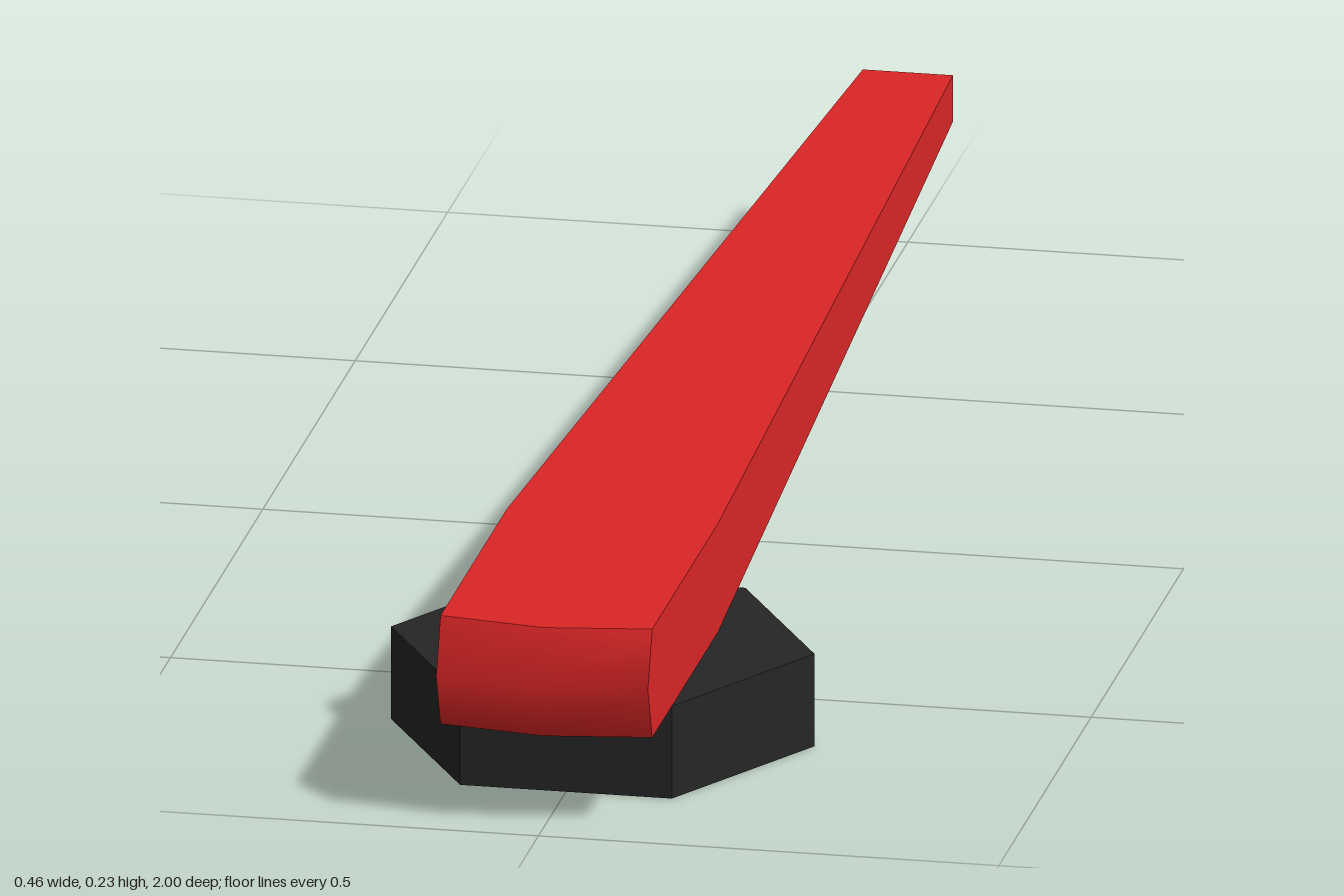
import * as THREE from 'three';

// Outline of a rectangular cross-section: corners and edge middles, counter-clockwise from +z
const OUTLINE = [[-1, -1], [0, -1], [1, -1], [1, 0], [1, 1], [0, 1], [-1, 1], [-1, 0]];
const MID_Y = 0.165;

// Front end bulges towards its middle in both directions
const frontZ = (u, v) => 0.957 + 0.018 * (1 - Math.abs(u)) + 0.024 * (1 - Math.abs(v));

function geometryFrom(points, index) {
  const g = new THREE.BufferGeometry();
  g.setAttribute('position', new THREE.Float32BufferAttribute(points.flat(), 3));
  g.setIndex(index);
  return g;
}

// Tapered bar lofted through three cross-sections, closed at the back
function armGeometry() {
  const sections = [
    { w: 0.049, h: 0.026, z: () => -1 },
    { w: 0.115, h: 0.061, z: () => 0.6 },
    { w: 0.115, h: 0.061, z: frontZ },
  ];
  const points = [], index = [], n = OUTLINE.length;
  for (const s of sections)
    for (const [u, v] of OUTLINE) points.push([u * s.w, MID_Y + v * s.h, s.z(u, v)]);
  for (let r = 0; r < sections.length - 1; r++)
    for (let i = 0; i < n; i++) {
      const a = r * n + i, b = r * n + (i + 1) % n;
      index.push(a, b, b + n, a, b + n, a + n);
    }
  index.push(0, 4, 2, 0, 6, 4); // back end
  const g = geometryFrom(points, index).toNonIndexed();
  g.computeVertexNormals();
  return g;
}

// Smooth bulging front cap
function capGeometry() {
  const points = [], index = [];
  for (let j = -1; j <= 1; j++)
    for (let i = -1; i <= 1; i++) points.push([i * 0.115, MID_Y + j * 0.061, frontZ(i, j)]);
  for (let j = 0; j < 2; j++)
    for (let i = 0; i < 2; i++) {
      const a = j * 3 + i;
      index.push(a, a + 1, a + 4, a, a + 4, a + 3);
    }
  const g = geometryFrom(points, index);
  g.computeVertexNormals();
  return g;
}

export function createModel() {
  const red = new THREE.MeshStandardMaterial({ name: 'red', color: 0xdc2626 });
  const black = new THREE.MeshStandardMaterial({ name: 'black', color: 0x262626 });
  const model = new THREE.Group();
  model.name = 'lever';

  const add = (name, geometry, material) => {
    const mesh = new THREE.Mesh(geometry, material);
    mesh.name = name;
    model.add(mesh);
    return mesh;
  };

  add('arm', armGeometry(), red);
  add('frontCap', capGeometry(), red);

  // Hexagonal hub with points to the left and right
  const hub = new THREE.CylinderGeometry(0.23, 0.23, 0.104, 6).rotateY(Math.PI / 6).toNonIndexed();
  hub.computeVertexNormals();
  add('hub', hub, black).position.set(0, 0.052, 0.652);

  return model;
}
